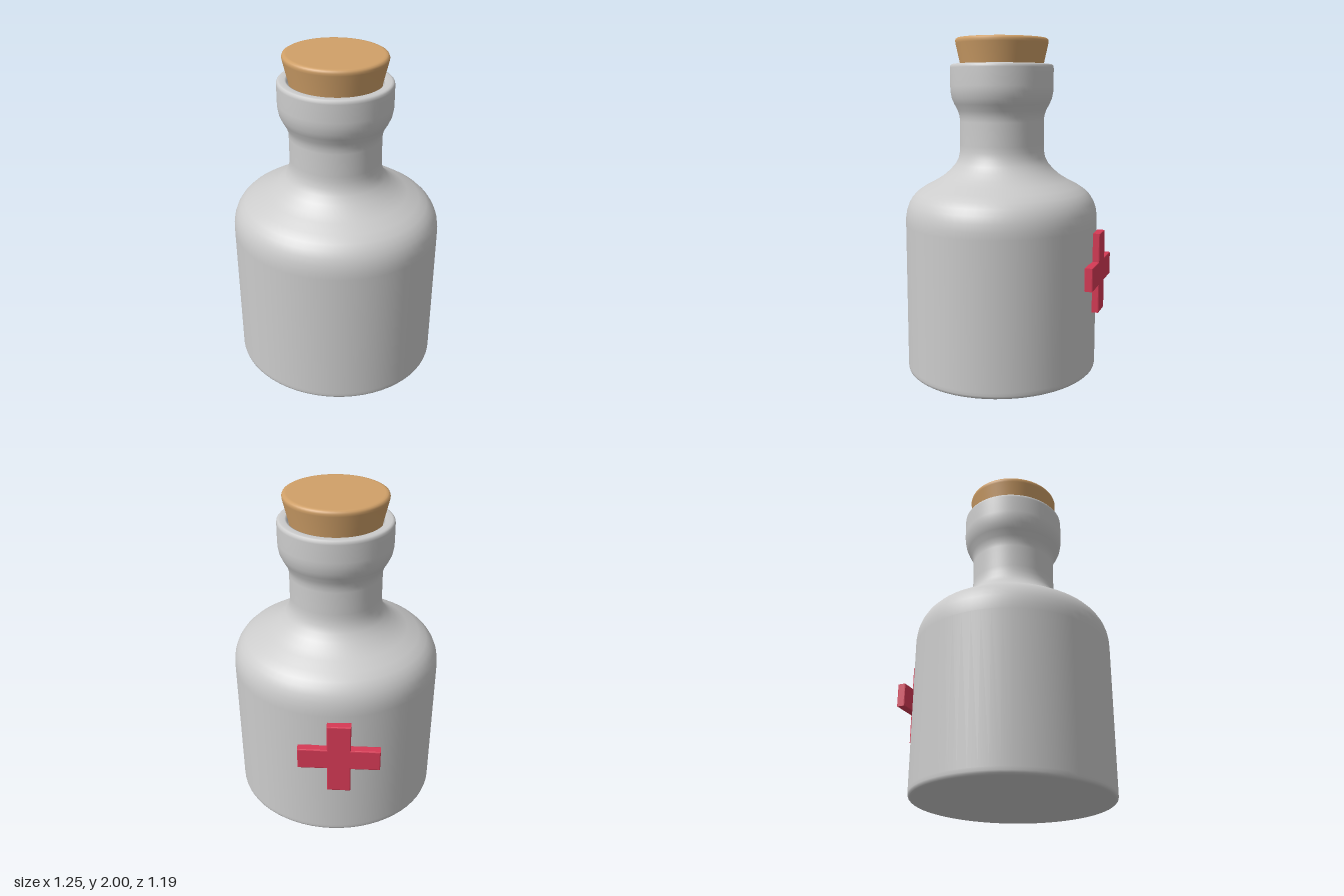
import * as THREE from 'three';

const SEGMENTS = 64;
const DEPTH_SCALE = 0.926; // the bottle is slightly oval
const CENTRE_Z = 0.018;

// Oval lathe from [radius, height] pairs, listed from bottom to top
function ovalLathe(name, profile, color) {
  const points = profile.map(([r, y]) => new THREE.Vector2(r, y));
  const geometry = new THREE.LatheGeometry(points, SEGMENTS);
  const mesh = new THREE.Mesh(geometry, new THREE.MeshStandardMaterial({ color }));
  mesh.name = name;
  mesh.scale.z = DEPTH_SCALE;
  mesh.position.z = CENTRE_Z;
  return mesh;
}

// Plus-shaped plate with a small bevel, fixed to the back
function makeCross() {
  const bevel = 0.006;
  const a = 0.24 - bevel; // arm length
  const w = 0.069 - bevel; // half arm width
  const outline = [
    [w, a], [-w, a], [-w, w], [-a, w], [-a, -w], [-w, -w],
    [-w, -a], [w, -a], [w, -w], [a, -w], [a, w], [w, w],
  ].map(([x, y]) => new THREE.Vector2(x, y));
  const geometry = new THREE.ExtrudeGeometry(new THREE.Shape(outline), {
    depth: 0.05 - 2 * bevel,
    bevelThickness: bevel,
    bevelSize: bevel,
    bevelSegments: 2,
  });
  geometry.translate(0, 0, bevel);
  const mesh = new THREE.Mesh(geometry, new THREE.MeshStandardMaterial({ color: 0xd63a55 }));
  mesh.name = 'cross';
  mesh.position.set(-0.049, 0.62, -0.6);
  return mesh;
}

export function createModel() {
  const model = new THREE.Group();
  model.name = 'bottle';

  // Base, straight wall, shoulder, neck, flared lip and the mouth
  model.add(ovalLathe('bottleBody', [
    [0, 0], [0.6, 0], [0.612, 0.003], [0.62, 0.01], [0.623, 0.022], [0.623, 0.04],
    [0.623, 0.9], [0.622, 0.94], [0.615, 0.985], [0.6, 1.025], [0.578, 1.06],
    [0.548, 1.09], [0.5, 1.121], [0.43, 1.155], [0.38, 1.184], [0.335, 1.22],
    [0.3, 1.258], [0.28, 1.295], [0.272, 1.335], [0.271, 1.37],
    [0.271, 1.51], [0.273, 1.54], [0.284, 1.575], [0.306, 1.613], [0.322, 1.648],
    [0.33, 1.69], [0.331, 1.72], [0.331, 1.825], [0.329, 1.838], [0.322, 1.846],
    [0.312, 1.848], [0.284, 1.848], [0.274, 1.844], [0.27, 1.832],
    [0.27, 1.74], [0, 1.735],
  ], 0xcccccc));

  // Tapered stopper with a rounded top edge
  model.add(ovalLathe('cork', [
    [0, 1.75], [0.245, 1.75], [0.25, 1.76], [0.267, 1.85], [0.295, 1.968],
    [0.297, 1.982], [0.293, 1.993], [0.283, 1.999], [0.27, 2], [0, 2],
  ], 0xd0a068));

  model.add(makeCross());
  return model;
}
